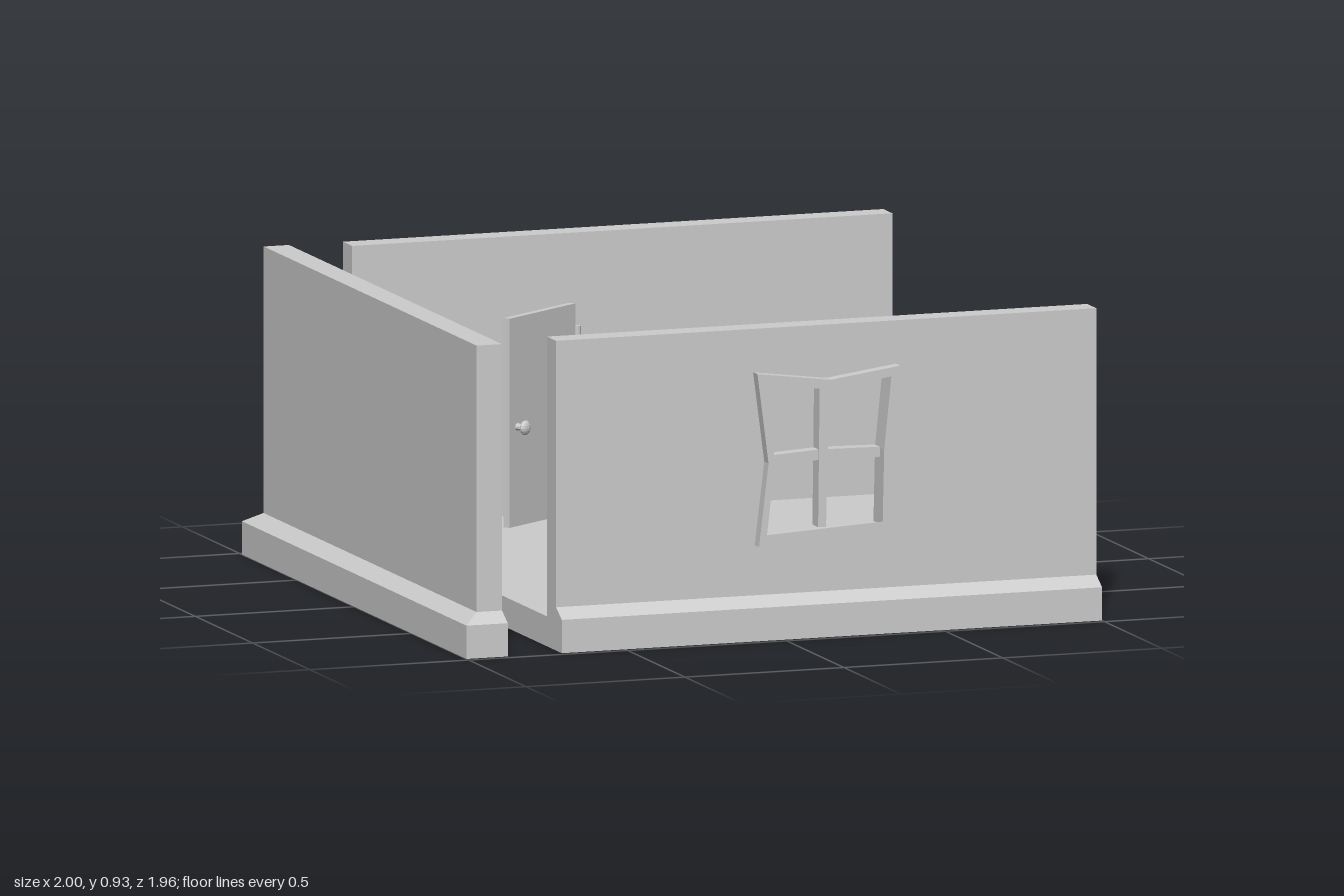
import * as THREE from 'three';

const material = new THREE.MeshStandardMaterial({ color: 0xcccccc, flatShading: true });

function add(parent, name, geometry, x = 0, y = 0, z = 0) {
  const mesh = new THREE.Mesh(geometry, material);
  mesh.name = name;
  mesh.position.set(x, y, z);
  parent.add(mesh);
  return mesh;
}

// Box given by its minimum and maximum corners
function block(parent, name, [x0, y0, z0], [x1, y1, z1]) {
  const geometry = new THREE.BoxGeometry(x1 - x0, y1 - y0, z1 - z0);
  return add(parent, name, geometry, (x0 + x1) / 2, (y0 + y1) / 2, (z0 + z1) / 2);
}

const points = (list) => list.map(([x, y]) => new THREE.Vector2(x, y));

// Upright panel: outline in x and y, extruded from z0 to z1
function panel(parent, name, outline, z0, z1, hole) {
  const shape = new THREE.Shape(points(outline));
  if (hole) shape.holes.push(new THREE.Path(points(hole)));
  const geometry = new THREE.ExtrudeGeometry(shape, { depth: z1 - z0, bevelEnabled: false });
  return add(parent, name, geometry, 0, 0, z0);
}

// Plinth strip along x with a sloped top; the ends can splay with depth
function plinth(parent, name, x0, x1, side, splay0 = 0, splay1 = 0) {
  const profile = [[0, 0], [0.05, 0], [0.05, 0.1], [0, 0.13]].map(([d, y]) => [-side * d, y]);
  const geometry = new THREE.ExtrudeGeometry(new THREE.Shape(points(profile)), { depth: x1 - x0, bevelEnabled: false });
  geometry.rotateY(Math.PI / 2).translate(x0, 0, 0);
  const p = geometry.attributes.position;
  const middle = (x0 + x1) / 2;
  for (let i = 0; i < p.count; i++) {
    const splay = p.getX(i) < middle ? splay0 : splay1;
    p.setX(i, p.getX(i) + splay * Math.abs(p.getZ(i)) / 0.05);
  }
  geometry.computeVertexNormals();
  return add(parent, name, geometry, 0, 0, side * 0.93);
}

export function createModel() {
  const room = new THREE.Group();
  room.name = 'room';
  const L = -0.7, R = 1, H = 0.93;

  block(room, 'floor', [L, 0, -0.85], [R, 0.09, 0.85]);

  // Crooked window outlines
  const outer = [[-0.08, 0.8], [0.15, 0.77], [0.37, 0.8], [0.345, 0.54], [0.34, 0.3], [-0.075, 0.28], [-0.045, 0.53]];
  const inner = [[-0.05, 0.77], [0.15, 0.74], [0.345, 0.77], [0.32, 0.545], [0.315, 0.335], [-0.05, 0.315], [-0.025, 0.53]];
  const opening = outer.map(([x, y], i) => [(x + inner[i][0]) / 2, (y + inner[i][1]) / 2]);

  // Front wall
  panel(room, 'frontWall', [[L, 0], [R, 0], [R, H], [L, H]], 0.85, 0.93, opening);
  plinth(room, 'frontPlinth', L, R, 1);

  // Window frame and crossing bars
  const windowGroup = new THREE.Group();
  windowGroup.name = 'window';
  room.add(windowGroup);
  panel(windowGroup, 'windowFrame', outer, 0.815, 0.968, inner);
  panel(windowGroup, 'verticalBar', [[0.13, 0.32], [0.155, 0.32], [0.165, 0.745], [0.135, 0.745]], 0.865, 0.915);
  panel(windowGroup, 'horizontalBar',
    [[-0.03, 0.51], [0.14, 0.522], [0.325, 0.52], [0.325, 0.55], [0.14, 0.553], [-0.03, 0.543]], 0.868, 0.912);

  // Back wall with a doorway recess on the outside
  const doorL = 0, doorR = 0.31, doorTop = 0.63;
  panel(room, 'backWall', [[L, 0], [doorL, 0], [doorL, doorTop], [doorR, doorTop], [doorR, 0], [R, 0], [R, H], [L, H]], -0.93, -0.855);
  block(room, 'backWallLining', [L, 0, -0.855], [R, H, -0.85]);
  plinth(room, 'backPlinthRight', L, doorL, -1, 0, -0.065);
  plinth(room, 'backPlinthLeft', doorR, R, -1, 0.06, 0);

  // Detached side wall with its plinth
  const sideWall = new THREE.Group();
  sideWall.name = 'sideWall';
  room.add(sideWall);
  block(sideWall, 'sideWallPanel', [-0.95, 0.1, -0.93], [-0.87, H, 0.93]);
  block(sideWall, 'sidePlinth', [-1, 0, -0.98], [-0.87, 0.1, 0.98]);
  const slope = block(sideWall, 'sidePlinthSlope', [-1, 0.1, -0.98], [-0.87, 0.13, 0.98]);
  const p = slope.geometry.attributes.position;
  for (let i = 0; i < p.count; i++) {
    if (p.getY(i) < 0) continue;
    if (p.getX(i) < 0) p.setX(i, p.getX(i) + 0.05);
    p.setZ(i, p.getZ(i) - Math.sign(p.getZ(i)) * 0.05);
  }
  slope.geometry.computeVertexNormals();

  // Open door leaf, swung on its hinge edge
  const door = new THREE.Group();
  door.name = 'door';
  door.position.set(-0.01, 0, -0.843);
  door.rotation.y = Math.atan2(0.19, 0.275);
  room.add(door);
  block(door, 'doorLeaf', [-0.335, 0.092, -0.011], [0, 0.72, 0.011]);
  for (const y of [0.18, 0.635]) {
    add(door, 'hinge', new THREE.CylinderGeometry(0.011, 0.011, 0.035, 10), 0.008, y, 0.012);
  }
  const stem = add(door, 'knobStem', new THREE.CylinderGeometry(0.009, 0.012, 0.03, 10), -0.295, 0.39, 0.022);
  stem.rotation.x = Math.PI / 2;
  const knob = add(door, 'knob', new THREE.SphereGeometry(0.022, 12, 8), -0.295, 0.39, 0.04);
  knob.scale.z = 0.6;

  return room;
}
